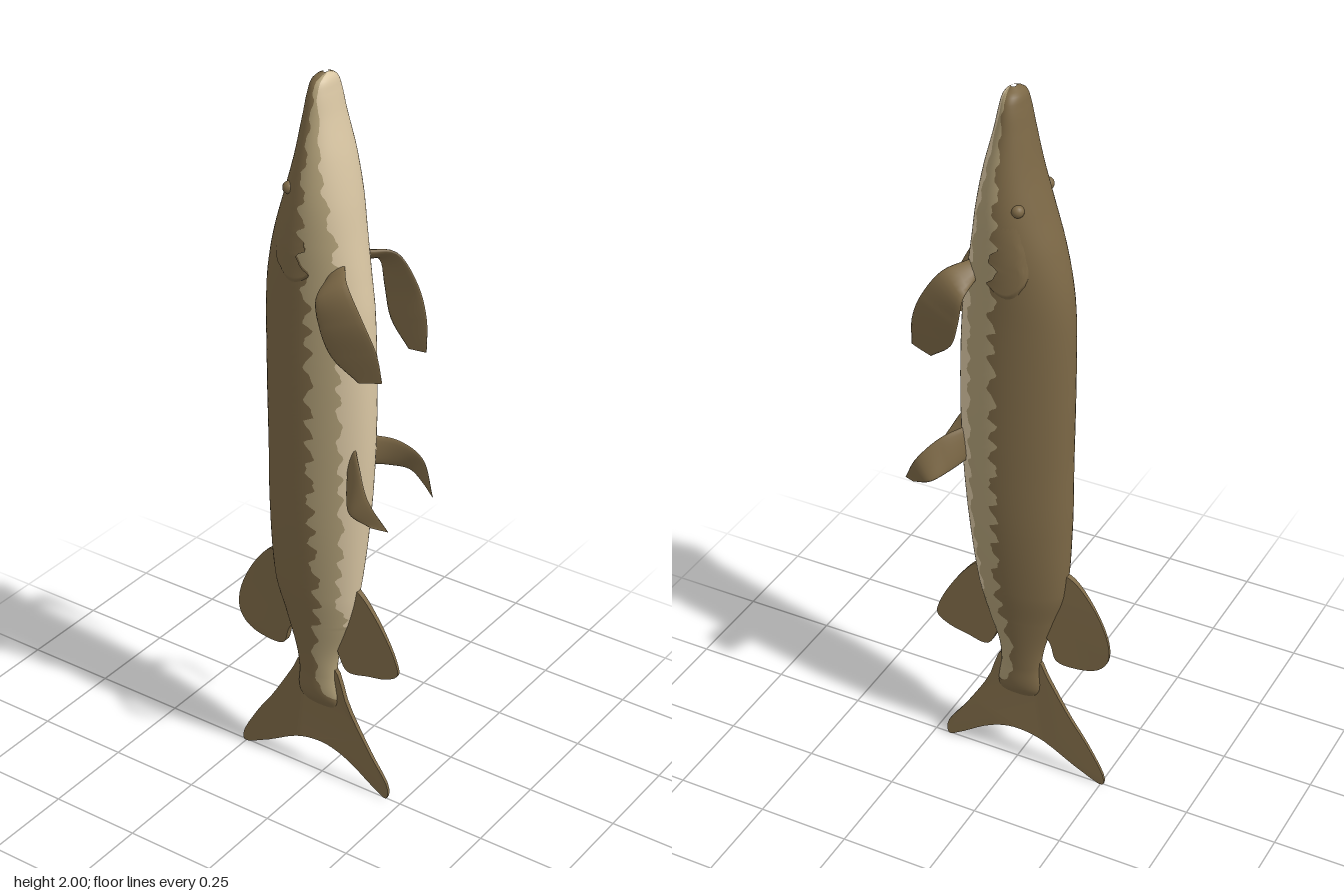
import * as THREE from 'three';
import { toCreasedNormals } from 'three/addons/utils/BufferGeometryUtils.js';

const V = (x, y, z) => new THREE.Vector3(x, y, z);
const clamp = THREE.MathUtils.clamp;

// Smooth curve through a table of [y, value] pairs, y ascending
function table(rows, col) {
  const n = rows.length;
  const slope = (i) => {
    const a = Math.max(i - 1, 0), b = Math.min(i + 1, n - 1);
    return (rows[b][col] - rows[a][col]) / (rows[b][0] - rows[a][0]);
  };
  return (y) => {
    let i = 0;
    while (i < n - 2 && y > rows[i + 1][0]) i++;
    const d = rows[i + 1][0] - rows[i][0], t = clamp((y - rows[i][0]) / d, 0, 1);
    const t2 = t * t, t3 = t2 * t;
    return (2 * t3 - 3 * t2 + 1) * rows[i][col] + (t3 - 2 * t2 + t) * d * slope(i)
      + (3 * t2 - 2 * t3) * rows[i + 1][col] + (t3 - t2) * d * slope(i + 1);
  };
}

// Surface grid from fn(u, v) with smooth normals taken from its slopes
function grid(fn, nu, nv) {
  const pos = [], nor = [], idx = [], e = 1e-3;
  for (let j = 0; j <= nv; j++) {
    for (let i = 0; i <= nu; i++) {
      const u = i / nu, v = j / nv;
      const du = fn(u + e, v).sub(fn(u - e, v));
      const dv = fn(u, Math.min(v + e, 1)).sub(fn(u, Math.max(v - e, 0)));
      pos.push(...fn(u, v).toArray());
      nor.push(...dv.cross(du).normalize().toArray());
      if (i < nu && j < nv) {
        const a = j * (nu + 1) + i, b = a + nu + 1;
        idx.push(a, b, a + 1, a + 1, b, b + 1);
      }
    }
  }
  const g = new THREE.BufferGeometry();
  g.setAttribute('position', new THREE.Float32BufferAttribute(pos, 3));
  g.setAttribute('normal', new THREE.Float32BufferAttribute(nor, 3));
  g.setIndex(idx);
  return g;
}

// Body stations: y, belly z, back z, half width
const STATIONS = [
  [0.22, 0.05, -0.05, 0.003], [0.26, 0.055, -0.07, 0.024], [0.33, 0.046, -0.068, 0.03],
  [0.4, 0.052, -0.078, 0.038], [0.5, 0.085, -0.108, 0.053], [0.6, 0.11, -0.138, 0.068],
  [0.8, 0.135, -0.15, 0.085], [1.0, 0.149, -0.151, 0.091], [1.2, 0.151, -0.153, 0.094],
  [1.4, 0.142, -0.151, 0.097], [1.5, 0.128, -0.141, 0.1], [1.6, 0.112, -0.118, 0.103],
  [1.7, 0.097, -0.086, 0.1], [1.8, 0.077, -0.057, 0.086], [1.9, 0.051, -0.036, 0.065],
  [1.96, 0.038, -0.024, 0.052], [1.988, 0.03, -0.015, 0.036], [2.0, 0.016, 0.004, 0.008],
];
const belly = table(STATIONS, 1), back = table(STATIONS, 2), width = table(STATIONS, 3);

// Point on the skin: t = 0 on the back, PI on the belly
function skin(t, y) {
  const c = (belly(y) + back(y)) / 2, h = (belly(y) - back(y)) / 2;
  return V(width(y) * Math.sin(t), y, c - h * Math.cos(t));
}
function angleAt(z, y) {
  const c = (belly(y) + back(y)) / 2, h = (belly(y) - back(y)) / 2;
  return Math.acos(clamp((c - z) / h, -1, 1));
}

// Colour borders along the flank: y, back/flank z, flank/belly z
const BORDERS = [
  [0.22, 0.1, 0.12], [0.25, 0.08, 0.12], [0.28, 0.02, 0.12], [0.35, 0.002, 0.1], [0.45, 0.006, 0.1],
  [0.52, 0.02, 0.085], [0.6, 0.028, 0.08], [0.8, 0.024, 0.098], [1.4, 0.022, 0.095],
  [1.6, 0.012, 0.082], [1.8, 0.01, 0.045], [1.95, 0.012, 0.022], [2.0, 0.012, 0.016],
];
const border1 = table(BORDERS, 1), border2 = table(BORDERS, 2);
const scallop = (y) => clamp(1.5 * Math.sin(y * 88 + Math.sin(y * 23)), -1, 1) + 0.35 * Math.sin(y * 211);
const fade = (y) => clamp((2 - y) / 0.4, 0.25, 1) * clamp((y - 0.2) / 0.3, 0.2, 1);
const t1 = (y) => angleAt(border1(y) + 0.011 * fade(y) * scallop(y), y);
const t2 = (y) => Math.max(t1(y), angleAt(border2(y) + 0.006 * fade(y) * scallop(y + 0.4), y));

export function createModel() {
  const model = new THREE.Group();
  const mat = (name, color) => {
    const m = new THREE.MeshStandardMaterial({ color });
    m.name = name;
    return m;
  };
  const brown = mat('brown back', 0x7c6846);
  const tan = mat('tan flank', 0xae9d76);
  const cream = mat('cream belly', 0xd9c6a3);
  const add = (name, geometry, material) => {
    const mesh = new THREE.Mesh(geometry, material);
    mesh.name = name;
    model.add(mesh);
    return mesh;
  };

  // Body skin in colour bands running the whole length
  const band = (name, material, a, b, nu) => add(name, grid((u, v) => {
    const y = 0.22 + 1.78 * v;
    return skin(THREE.MathUtils.lerp(a(y), b(y), u), y);
  }, nu, 240), material);
  const TAU = Math.PI * 2;
  band('back', brown, (y) => -t1(y), t1, 28);
  band('leftFlank', tan, t1, t2, 5);
  band('rightFlank', tan, (y) => TAU - t2(y), (y) => TAU - t1(y), 5);
  band('belly', cream, t2, (y) => TAU - t2(y), 16);

  // Gill covers: raised patches with a rounded lower rim; and eyes
  for (const s of [1, -1]) {
    const side = s > 0 ? 'left' : 'right';
    add(side + 'GillCover', grid((u, v) => {
      const w = s > 0 ? u : 1 - u, k = 2 * w - 1.3;
      const y = THREE.MathUtils.lerp(1.495 + 0.045 * k * k, 1.7, v);
      const t = THREE.MathUtils.lerp(0.95, t1(y), w);
      const p = skin(t, y);
      const lift = 0.008 * Math.min(v * 12, 1 - v) * Math.min(1, w * 4) - 0.0008;
      return p.add(V(Math.sin(t) * s * s * lift, 0, -Math.cos(t) * lift)).multiply(V(s, 1, 1));
    }, 12, 24), brown);
    const eye = add(side + 'Eye', new THREE.SphereGeometry(0.016, 16, 12), brown);
    const p = skin(angleAt(-0.04, 1.725), 1.725);
    eye.position.set(s * (p.x - 0.004), p.y, p.z);
  }

  // Flat fins in the middle plane, outline points as [z, y], thinner away from the body
  const flatFin = (name, outline, root, tip) => {
    const curve = new THREE.CatmullRomCurve3(outline.map(([z, y]) => V(z, y, 0)), true, 'centripetal');
    const shape = new THREE.Shape(curve.getPoints(60).slice(0, -1).map((p) => new THREE.Vector2(p.x, p.y)));
    const g = new THREE.ExtrudeGeometry(shape, { depth: 2, bevelEnabled: false });
    g.translate(0, 0, -1).rotateY(-Math.PI / 2);
    const p = g.attributes.position;
    for (let i = 0; i < p.count; i++) {
      const k = clamp((Math.abs(p.getZ(i)) - 0.05) / 0.18, 0, 1);
      p.setX(i, p.getX(i) * THREE.MathUtils.lerp(root, tip, k));
    }
    add(name, toCreasedNormals(g, 0.6), brown);
  };
  flatFin('dorsalFin', [[-0.08, 0.66], [-0.15, 0.66], [-0.215, 0.59], [-0.262, 0.485], [-0.262, 0.425],
    [-0.235, 0.39], [-0.185, 0.374], [-0.118, 0.38], [-0.1, 0.43], [-0.06, 0.5]], 0.012, 0.004);
  flatFin('analFin', [[0.06, 0.63], [0.108, 0.625], [0.165, 0.565], [0.228, 0.455], [0.237, 0.41],
    [0.205, 0.387], [0.15, 0.375], [0.085, 0.367], [0.055, 0.42], [0.03, 0.5]], 0.01, 0.004);
  flatFin('tailFin', [[0.036, 0.365], [0.085, 0.25], [0.155, 0.13], [0.212, 0.042], [0.208, 0.006],
    [0.17, 0.025], [0.095, 0.076], [0.04, 0.1], [-0.01, 0.106], [-0.075, 0.093], [-0.18, 0.035],
    [-0.255, 0.004], [-0.259, 0.026], [-0.21, 0.12], [-0.155, 0.2], [-0.09, 0.31], [-0.058, 0.365]], 0.007, 0.004);

  // Paired fins: curled blades of lens section between two edge curves
  const bladeFin = (name, s, front, rear, thick) => {
    const curve = (pts) => new THREE.CatmullRomCurve3(pts.map(([x, y, z]) => V(s * x, y, z)));
    const F = curve(front), B = curve(rear);
    add(name, grid((u, v) => {
      const f = F.getPoint(v), chord = B.getPoint(v).sub(f);
      const along = F.getTangent(v).add(B.getTangent(v));
      const n = along.cross(chord).normalize();
      const a = u * TAU, half = thick * (1 - 0.9 * v);
      return f.addScaledVector(chord, (1 - Math.cos(a)) / 2).addScaledVector(n, half * Math.sin(a));
    }, 16, 20), brown);
  };
  for (const s of [1, -1]) {
    const side = s > 0 ? 'left' : 'right';
    bladeFin(side + 'PectoralFin', s,
      [[0.05, 1.55, 0.1], [0.105, 1.535, 0.145], [0.118, 1.46, 0.198], [0.108, 1.38, 0.231], [0.096, 1.3, 0.24]],
      [[0.08, 1.515, 0.07], [0.134, 1.49, 0.075], [0.138, 1.42, 0.088], [0.126, 1.345, 0.115], [0.108, 1.288, 0.18]],
      0.01);
    bladeFin(side + 'PelvicFin', s,
      [[0.03, 1.065, 0.115], [0.085, 1.04, 0.17], [0.122, 0.985, 0.22], [0.1, 0.9, 0.266]],
      [[0.04, 0.975, 0.11], [0.095, 0.955, 0.14], [0.134, 0.935, 0.175], [0.122, 0.91, 0.23]],
      0.01);
  }
  return model;
}
